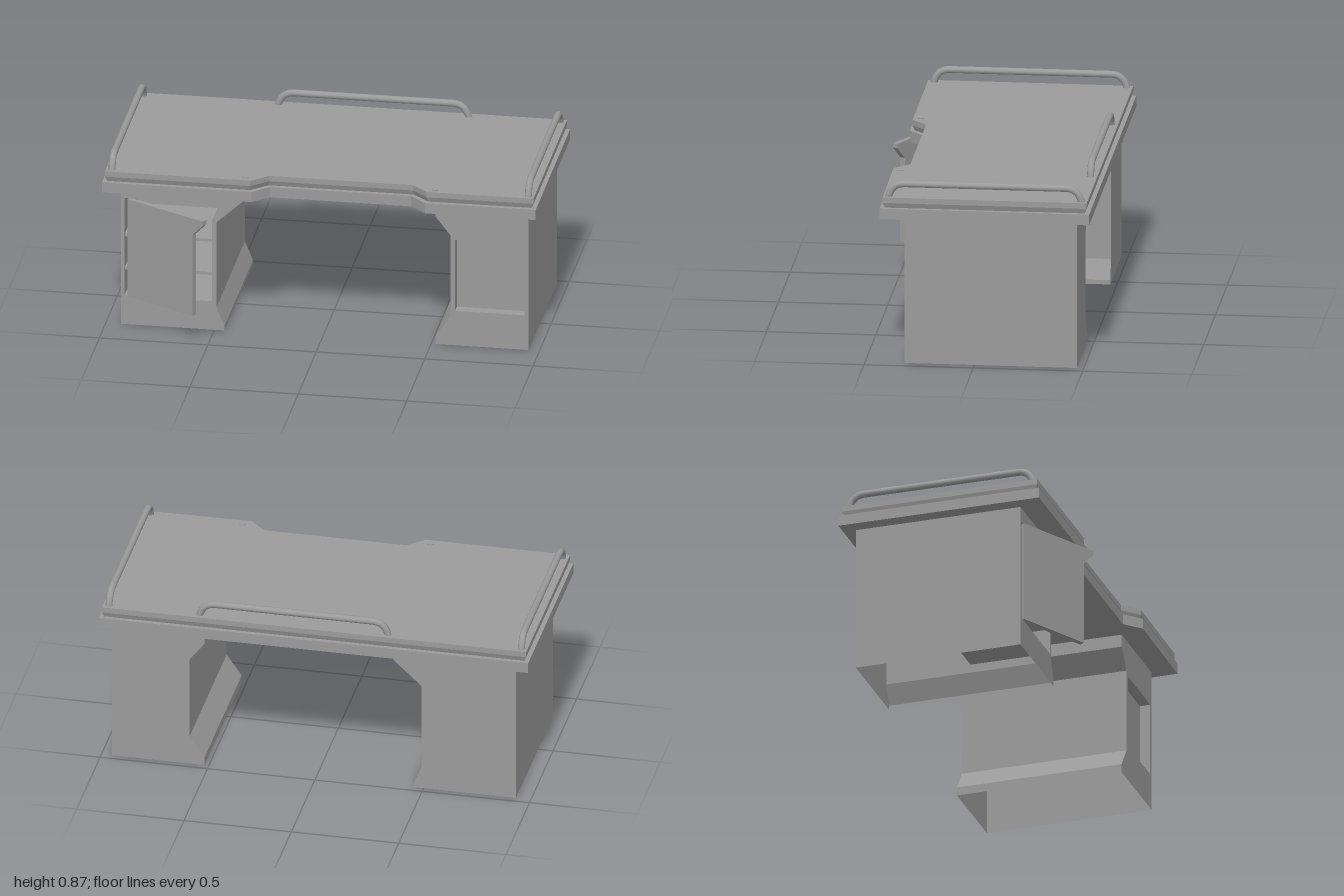
import * as THREE from 'three';

const grey = new THREE.MeshStandardMaterial({ color: 0x9b9b9b, flatShading: true, side: THREE.DoubleSide });
const smooth = new THREE.MeshStandardMaterial({ color: 0x9b9b9b });

function add(parent, name, geometry, material = grey) {
  const mesh = new THREE.Mesh(geometry, material);
  mesh.name = name;
  parent.add(mesh);
  return mesh;
}

const toShape = (pts) => new THREE.Shape(pts.map(([x, y]) => new THREE.Vector2(x, y)));

// Skin between two matching outlines in x/y, placed at depths z0 and z1
function skin(a, b, z0, z1, closed) {
  const pos = [];
  const n = closed ? a.length : a.length - 1;
  for (let i = 0; i < n; i++) {
    const j = (i + 1) % a.length;
    pos.push(...a[i], z0, ...a[j], z0, ...b[j], z1, ...a[i], z0, ...b[j], z1, ...b[i], z1);
  }
  const g = new THREE.BufferGeometry();
  g.setAttribute('position', new THREE.Float32BufferAttribute(pos, 3));
  g.computeVertexNormals();
  return g;
}

// Hollow pedestal, open underneath, with a recess let into its front
function makePedestal(name, profile, opening, depth) {
  const g = new THREE.Group();
  g.name = name;
  const front = 0.32, back = -0.47;
  const face = toShape(profile);
  face.holes.push(new THREE.Path(opening.map(([x, y]) => new THREE.Vector2(x, y))));
  add(g, 'pedestalFront', new THREE.ShapeGeometry(face).translate(0, 0, front));
  add(g, 'pedestalBack', new THREE.ShapeGeometry(toShape(profile)).rotateY(Math.PI).scale(-1, 1, 1).translate(0, 0, back));
  add(g, 'pedestalSides', skin(profile, profile, back, front, false));
  add(g, 'recessSides', skin(opening, opening, front - depth, front, true));
  add(g, 'recessBack', new THREE.ShapeGeometry(toShape(opening)).translate(0, 0, front - depth));
  return g;
}

// Desk outline (x, -z) with a cut-out in the front edge, shrunk by an inset
function deskOutline(inset) {
  const x = 1 - inset, f = 0.432 - inset, b = 0.53 - inset, n = 0.362 - inset, k = inset * 0.5;
  return [
    [-x, -f], [-0.31 - k, -f], [-0.235 - k, -n], [0.415 + k, -n],
    [0.49 + k, -f], [x, 0.004 - f], [x, b], [-x, b],
  ];
}

// Worktop: rings of [height, inset] joined by skins, closed above and below
function makeWorktop() {
  const g = new THREE.Group();
  g.name = 'worktop';
  const rings = [[0.69, 0], [0.74, 0], [0.74, 0.021], [0.764, 0.012], [0.79, 0.012]];
  for (let i = 1; i < rings.length; i++) {
    const [[y0, in0], [y1, in1]] = [rings[i - 1], rings[i]];
    add(g, 'worktopEdge', skin(deskOutline(in0), deskOutline(in1), y0, y1, true).rotateX(-Math.PI / 2));
  }
  add(g, 'worktopSurface', new THREE.ShapeGeometry(toShape(deskOutline(0.012))).rotateX(-Math.PI / 2).translate(0, 0.79, 0));
  const underside = new THREE.ShapeGeometry(toShape(deskOutline(0).map(([x, y]) => [x, -y])));
  add(g, 'worktopUnderside', underside.rotateX(Math.PI / 2).translate(0, 0.69, 0));
  for (const x of [-0.345, 0.53]) {
    add(g, 'stud', new THREE.CylinderGeometry(0.015, 0.015, 0.008, 16)).position.set(x, 0.79, 0.385);
  }
  return g;
}

// Rail along x: two bent ends and a straight top
function railGeometry(a, b) {
  const base = 0.78, top = 0.85, r = 0.07;
  const v = (x, y) => new THREE.Vector3(x, y, 0);
  const path = new THREE.CurvePath();
  path.add(new THREE.QuadraticBezierCurve3(v(a, base), v(a + 0.012, top - 0.003), v(a + r, top)));
  path.add(new THREE.LineCurve3(v(a + r, top), v(b - r, top)));
  path.add(new THREE.QuadraticBezierCurve3(v(b - r, top), v(b - 0.012, top - 0.003), v(b, base)));
  return new THREE.TubeGeometry(path, 80, 0.016, 12, false);
}

export function createModel() {
  const desk = new THREE.Group();
  desk.name = 'desk';
  desk.add(makeWorktop());

  // Rails on both sides and the back
  for (const s of [-1, 1]) {
    const rail = add(desk, s < 0 ? 'rightRail' : 'leftRail', railGeometry(-0.393, 0.493), smooth);
    rail.rotation.y = Math.PI / 2;
    rail.position.x = s * 0.96;
  }
  add(desk, 'backRail', railGeometry(-0.34, 0.54), smooth).position.z = -0.487;

  // Pedestal with a deep cupboard
  const cupboard = makePedestal('rightPedestal',
    [[-0.453, 0], [-0.453, 0.02], [-0.49, 0.11], [-0.49, 0.53], [-0.36, 0.65], [-0.36, 0.69], [-0.93, 0.69], [-0.93, 0]],
    [[-0.915, 0.14], [-0.51, 0.14], [-0.51, 0.54], [-0.453, 0.6], [-0.453, 0.615], [-0.46, 0.622], [-0.915, 0.622]], 0.38);
  for (const y of [0.268, 0.432]) {
    add(cupboard, 'shelf', new THREE.BoxGeometry(0.405, 0.014, 0.36)).position.set(-0.7125, y, 0.12);
  }
  desk.add(cupboard);

  // Cupboard door standing ajar
  const doorShape = toShape([[0, 0.14], [0.375, 0.14], [0.375, 0.54], [0.434, 0.6], [0.434, 0.62], [0, 0.62]]);
  const door = add(cupboard, 'door', new THREE.ExtrudeGeometry(doorShape, { depth: 0.025, bevelEnabled: false }));
  door.position.set(-0.888, 0, 0.305);
  door.rotation.y = -0.49;

  // Pedestal with a shallow sunken panel
  desk.add(makePedestal('leftPedestal',
    [[0.52, 0], [0.52, 0.04], [0.59, 0.14], [0.59, 0.54], [0.52, 0.63], [0.52, 0.69], [0.95, 0.69], [0.95, 0]],
    [[0.61, 0.17], [0.93, 0.17], [0.93, 0.52], [0.61, 0.52]], 0.05));

  return desk;
}
